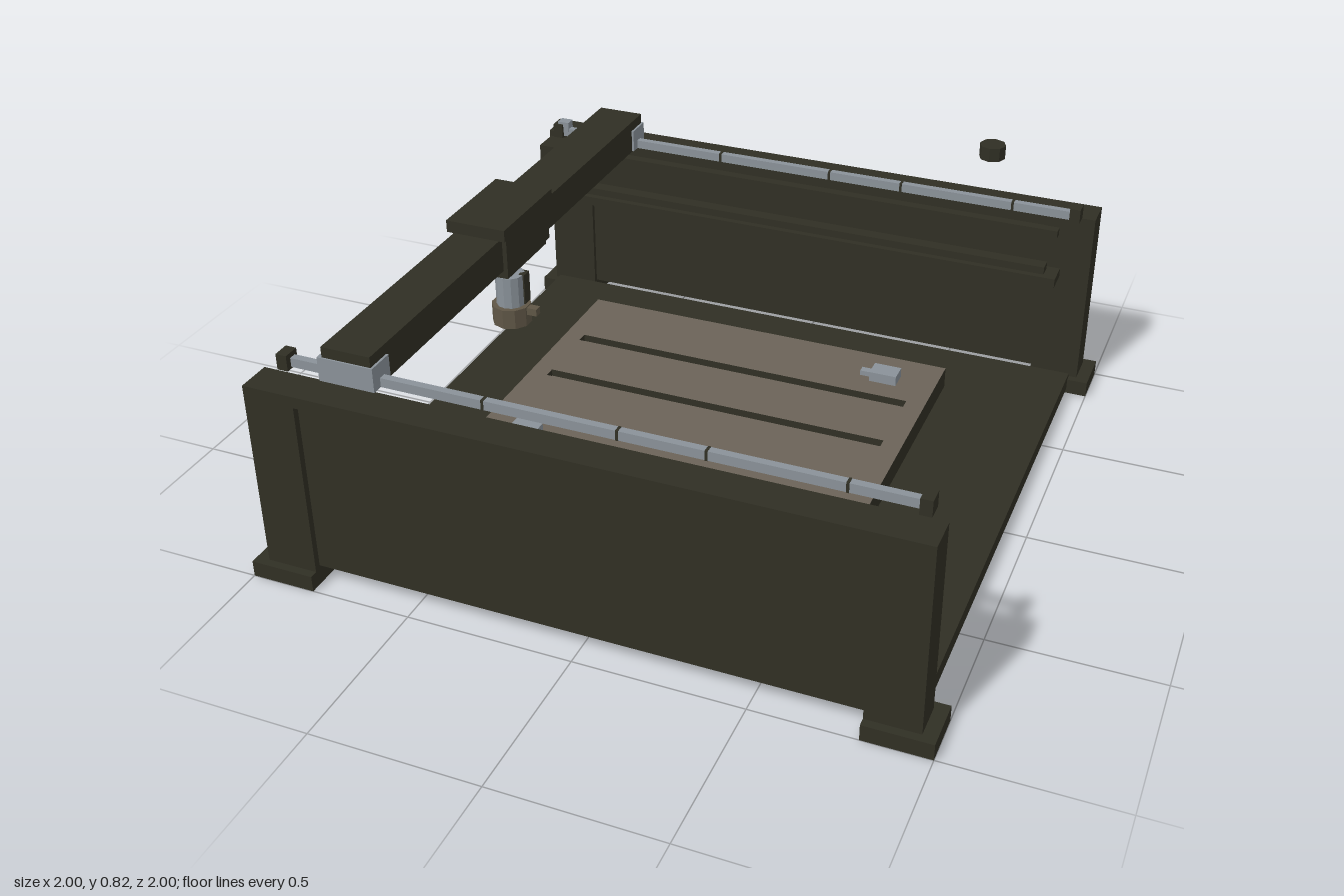
import * as THREE from 'three';

const mat = (name, color) => {
  const m = new THREE.MeshStandardMaterial({ color });
  m.name = name;
  return m;
};

export function createModel() {
  const dark = mat('darkOlive', 0x302f24);
  const tan = mat('bedTan', 0x6b6358);
  const metal = mat('steel', 0x8a9299);
  const brown = mat('collarBrown', 0x5f5646);
  const root = new THREE.Group();
  root.name = 'gantryRouter';

  // Box given by its extents on each axis
  const box = (name, m, [x0, x1], [y0, y1], [z0, z1]) => {
    const mesh = new THREE.Mesh(new THREE.BoxGeometry(x1 - x0, y1 - y0, z1 - z0), m);
    mesh.position.set((x0 + x1) / 2, (y0 + y1) / 2, (z0 + z1) / 2);
    mesh.name = name;
    root.add(mesh);
    return mesh;
  };
  const cyl = (name, m, r, [y0, y1], x, z, sides) => {
    const g = new THREE.CylinderGeometry(r, r, y1 - y0, sides).toNonIndexed();
    g.computeVertexNormals();
    const mesh = new THREE.Mesh(g, m);
    mesh.position.set(x, (y0 + y1) / 2, z);
    mesh.name = name;
    root.add(mesh);
  };
  // z range mirrored to the front (+1) or the back (-1)
  const zr = (s, a, b) => (s > 0 ? [a, b] : [-b, -a]);

  // Floor plate
  box('basePlate', dark, [-0.94, 0.935], [0.015, 0.065], [-0.86, 0.86]);

  // Side walls with posts, feet, recessed panels and guide rails
  for (const s of [1, -1]) {
    for (const x of [-1, 1]) {
      const xr = (a, b) => (x > 0 ? [a, b] : [-b, -a]);
      box('foot', dark, xr(0.805, 1), [0, 0.05], zr(s, 0.845, 1));
      box('post', dark, xr(0.805, 0.96), [0.05, 0.63], zr(s, 0.87, 0.975));
      box('railEndBlock', dark, xr(0.885, 0.918), [0.632, 0.68], zr(s, 0.82, 0.87));
    }
    box('wallPanel', dark, [-0.805, 0.805], [0.06, 0.6], zr(s, 0.885, 0.955));
    box('wallTopRail', dark, [-0.805, 0.805], [0.595, 0.63], zr(s, 0.87, 0.975));
    box('wallLedge', dark, [-0.85, 0.85], [0.56, 0.585], zr(s, 0.84, 0.872));
    box('guideRail', metal, [-0.885, 0.885], [0.637, 0.665], zr(s, 0.83, 0.852));
    for (const x of [-0.3, 0.085, 0.33, 0.7]) {
      box('railClip', dark, [x - 0.004, x + 0.004], [0.636, 0.666], zr(s, 0.829, 0.853));
    }
    // Gantry end brackets
    box('gantryBracket', metal, [-0.775, -0.605], [0.637, 0.71], zr(s, 0.8, 0.885));
    // Supports beneath the bed
    box('bedSupport', dark, [-0.575, 0.565], [0.09, 0.152], zr(s, 0.533, 0.607));
  }
  box('footTag', metal, [0.86, 0.88], [0.01, 0.048], [0.996, 1.0]);

  // Drive motor on the back rail
  box('railMotor', metal, [-0.905, -0.865], [0.655, 0.688], [-0.862, -0.828]);

  // Control box and cable tray on the back wall
  box('controlBox', dark, [-0.955, -0.88], [0.38, 0.61], [-0.87, -0.782]);
  box('cableTray', dark, [-0.88, 0.88], [0.455, 0.485], [-0.785, -0.705]);
  box('cableChain', dark, [-0.845, 0.84], [0.485, 0.51], [-0.768, -0.725]);

  // Work bed: tan faces, dark edges, three grooves
  const plate = (name, y0, y1, slots) => {
    const rect = (T, x0, x1, z0, z1) => {
      const p = new T();
      p.moveTo(x0, z0).lineTo(x1, z0).lineTo(x1, z1).lineTo(x0, z1).closePath();
      return p;
    };
    const shape = rect(THREE.Shape, -0.61, 0.605, -0.49, 0.49);
    for (const z of slots) {
      shape.holes.push(rect(THREE.Path, -0.55, 0.545, z - 0.018, z + 0.018));
    }
    const g = new THREE.ExtrudeGeometry(shape, { depth: y1 - y0, bevelEnabled: false });
    g.rotateX(-Math.PI / 2);
    const mesh = new THREE.Mesh(g, [tan, dark]);
    mesh.position.y = y0;
    mesh.name = name;
    root.add(mesh);
  };
  plate('bedBase', 0.15, 0.195, []);
  plate('bedSlats', 0.195, 0.218, [-0.235, 0, 0.237]);

  // Clamps on the bed
  for (const [x, z, s] of [[0.445, -0.357, -1], [-0.455, 0.35, 1]]) {
    box('clamp', metal, [x - 0.043, x + 0.043], [0.218, 0.25], [z - 0.03, z + 0.03]);
    const t = x + s * 0.06;
    box('clampTip', metal, [t - 0.018, t + 0.018], [0.222, 0.238], [z - 0.012, z + 0.012]);
  }

  // Gantry beam and carriage
  box('gantryBeam', dark, [-0.762, -0.612], [0.635, 0.742], [-0.88, 0.88]);
  box('carriageCap', dark, [-0.785, -0.592], [0.742, 0.78], [-0.157, 0.157]);
  for (const [a, b] of [[-0.612, -0.598], [-0.776, -0.762]]) {
    box('carriagePlate', dark, [a, b], [0.62, 0.742], [-0.138, 0.138]);
  }
  box('carriageFoot', dark, [-0.765, -0.605], [0.603, 0.635], [-0.128, 0.128]);

  // Spindle
  const sx = -0.67;
  cyl('spindleBody', metal, 0.046, [0.445, 0.55], sx, 0, 12);
  box('spindleCover', dark, [sx + 0.03, sx + 0.05], [0.45, 0.55], [-0.034, 0.002]);
  cyl('spindleCollar', brown, 0.062, [0.383, 0.447], sx, 0, 10);
  cyl('collet', dark, 0.022, [0.37, 0.383], sx, 0, 10);
  box('spindleNozzle', brown, [sx + 0.05, -0.578], [0.42, 0.444], [-0.013, 0.013]);

  // Raised button above the back wall
  cyl('stopButton', dark, 0.042, [0.775, 0.82], 0.605, -0.905, 8);

  return root;
}
